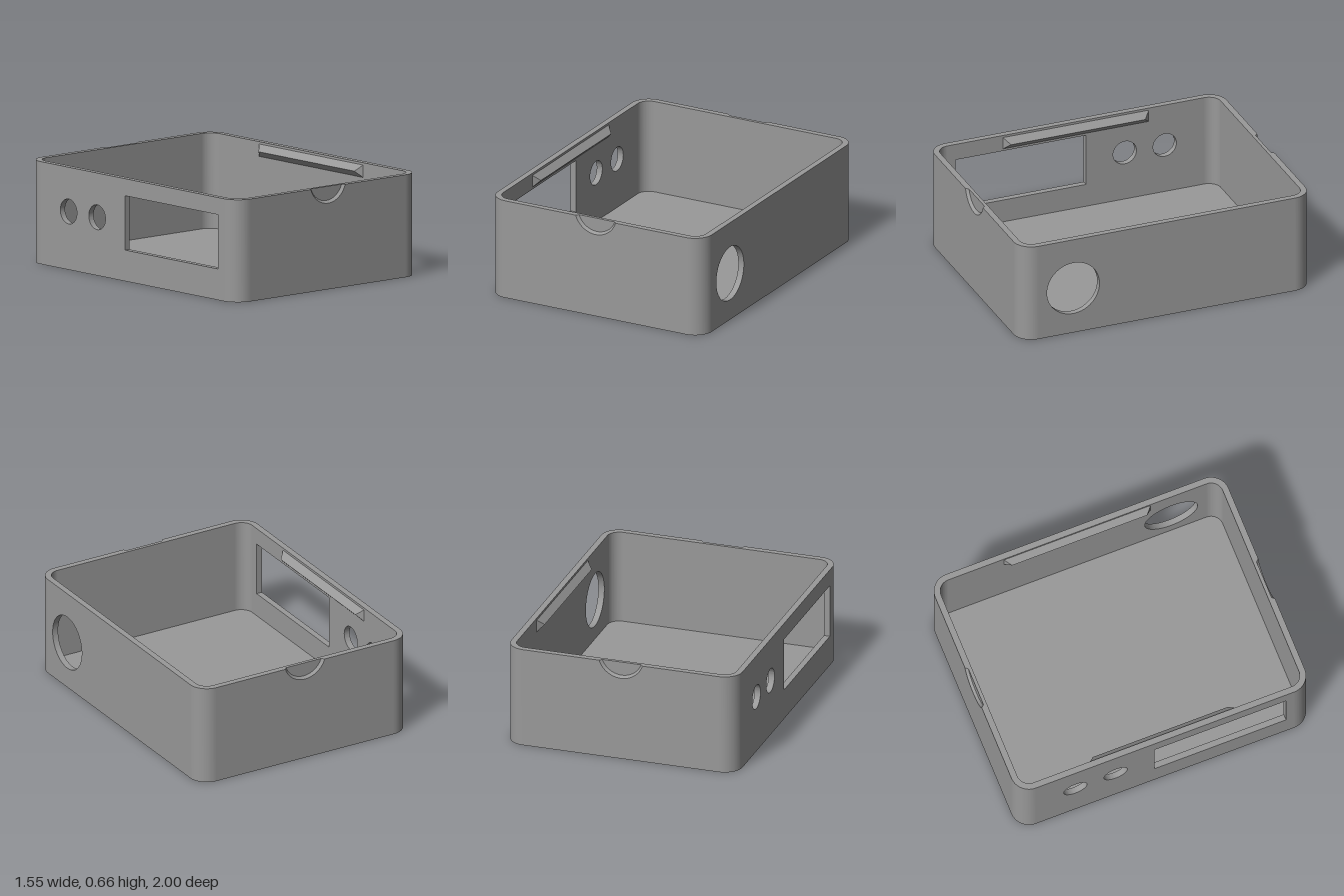
import * as THREE from 'three';
import { toCreasedNormals } from 'three/addons/utils/BufferGeometryUtils.js';

const W = 0.775, D = 1, H = 0.66, T = 0.04, R = 0.12, FLOOR = 0.045;
const CX = W - R, CZ = D - R; // centres of the rounded corners

const rect = (Type, x0, y0, x1, y1) => new Type([
  new THREE.Vector2(x0, y0), new THREE.Vector2(x1, y0),
  new THREE.Vector2(x1, y1), new THREE.Vector2(x0, y1),
]);
const hole = (x, y, r) => new THREE.Path().absarc(x, y, r, 0, Math.PI * 2, true);
const extrude = (shape, depth, segments = 32) => new THREE.ExtrudeGeometry(
  shape, { depth, bevelEnabled: false, curveSegments: segments });

// Moves every vertex by a rule and refreshes the normals
function reshape(geometry, rule) {
  const p = geometry.attributes.position, v = new THREE.Vector3();
  for (let i = 0; i < p.count; i++) {
    rule(v.fromBufferAttribute(p, i));
    p.setXYZ(i, v.x, v.y, v.z);
  }
  geometry.computeVertexNormals();
  return geometry;
}

export function createModel() {
  const model = new THREE.Group();
  model.name = 'enclosure';
  const grey = new THREE.MeshStandardMaterial({ color: 0x999999 });
  grey.name = 'grey plastic';
  const add = (name, geometry, parent = model) => {
    const mesh = new THREE.Mesh(toCreasedNormals(geometry, 0.4), grey);
    mesh.name = name;
    parent.add(mesh);
    return mesh;
  };

  // Floor: rounded rectangle inside the walls
  const floor = new THREE.Shape();
  [[1, 1], [-1, 1], [-1, -1], [1, -1]].forEach(([sx, sz], k) => {
    const a = k * Math.PI / 2;
    floor.absarc(sx * CX, sz * CZ, R - T, a, a + Math.PI / 2, false);

    // Rounded corner post
    const corner = new THREE.Shape();
    corner.absarc(sx * CX, sz * CZ, R, a, a + Math.PI / 2, false);
    corner.absarc(sx * CX, sz * CZ, R - T, a + Math.PI / 2, a, true);
    add('corner' + (k + 1), extrude(corner, H, 16).rotateX(-Math.PI / 2));
  });
  add('floor', extrude(floor, FLOOR, 16).rotateX(-Math.PI / 2));

  // Left wall with one large round port (shape x runs along -z)
  const left = rect(THREE.Shape, -CZ, 0, CZ, H);
  left.holes.push(hole(-0.64, 0.315, 0.18));
  add('leftWall', extrude(left, T).rotateY(Math.PI / 2).translate(W - T, 0, 0));

  // Right wall with a rectangular window and two small round ports
  const right = rect(THREE.Shape, -CZ, 0, CZ, H);
  right.holes.push(rect(THREE.Path, -0.825, 0.2, 0.07, 0.55),
    hole(0.336, 0.375, 0.08), hole(0.61, 0.375, 0.08));
  add('rightWall', extrude(right, T).rotateY(Math.PI / 2).translate(-W, 0, 0));

  // Front and back walls: plain inner layer, outer layer with a tapered thumb notch
  const depth = 0.018, notchY = 0.7076, notchR = 0.1526;
  const dip = Math.asin((notchY - H) / notchR);
  const face = new THREE.Shape();
  face.moveTo(-CX, H).lineTo(-CX, 0).lineTo(CX, 0).lineTo(CX, H);
  face.absarc(0, notchY, notchR, -dip, -Math.PI + dip, true);
  face.closePath();
  const outer = reshape(extrude(face, depth), (v) => {
    if (v.z < depth / 2 && Math.abs(v.x) < 0.2 && v.y > 0.5) {
      v.x *= 0.89;
      v.y = H - (H - v.y) * 0.857;
    }
  }).translate(0, 0, D - depth);
  const inner = new THREE.BoxGeometry(2 * CX, H, T - depth)
    .translate(0, H / 2, D - (T + depth) / 2);

  // Snap ridge with sloped faces and mitred ends
  const ridge = new THREE.Shape([
    new THREE.Vector2(0, 0.565), new THREE.Vector2(0, 0.645), new THREE.Vector2(-T, 0.605),
  ]);
  const snap = reshape(extrude(ridge, 1).translate(0, 0, -0.5), (v) => {
    if (v.x < -0.01) v.z *= 0.92;
  }).translate(W - T, 0, 0);

  // Mirrored pairs
  [['front', 'left'], ['back', 'right']].forEach(([end, side], i) => {
    const wall = new THREE.Group();
    wall.name = end + 'Wall';
    add(end + 'WallInner', inner, wall);
    add(end + 'WallNotched', outer, wall);
    wall.rotation.y = i * Math.PI;
    model.add(wall);
    add(side + 'SnapRidge', snap).rotation.y = i * Math.PI;
  });

  return model;
}
